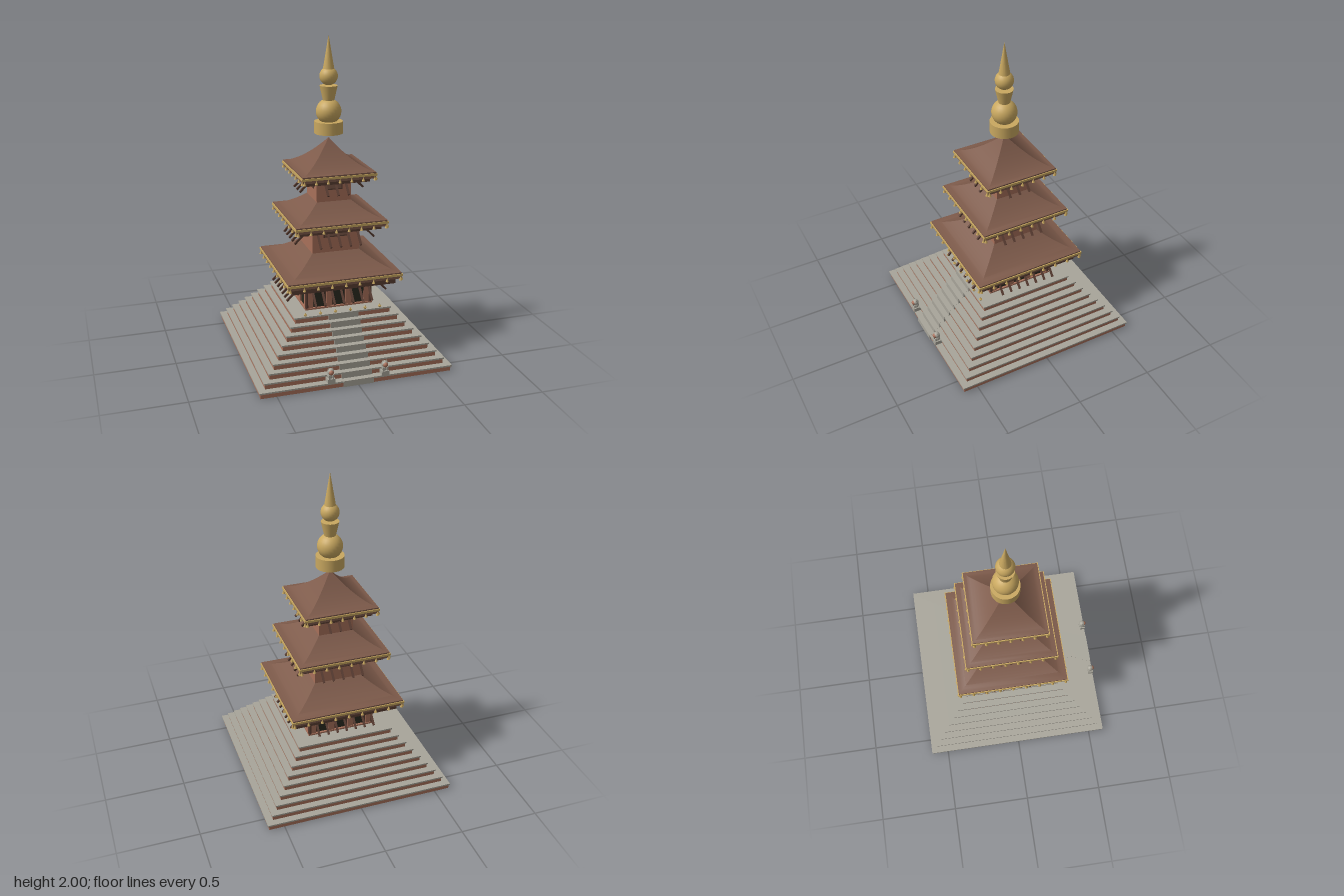
import * as THREE from 'three';
import { toCreasedNormals } from 'three/addons/utils/BufferGeometryUtils.js';

const mat = (name, color) => {
  const m = new THREE.MeshStandardMaterial({ color });
  m.name = name;
  return m;
};

export function createModel() {
  const stone = mat('stone', 0xa8a59a);
  const brick = mat('brick', 0xa8705a);
  const tile = mat('roof tile', 0x7d5a4a);
  const wood = mat('dark wood', 0x5a3d32);
  const gold = mat('gold', 0xc9a860);
  const dark = mat('dark opening', 0x2b2b20);

  const model = new THREE.Group();
  model.name = 'pagoda';
  const tower = new THREE.Group();
  tower.name = 'tower';
  tower.position.z = -0.006;
  model.add(tower);

  const add = (parent, name, geo, material, x = 0, y = 0, z = 0) => {
    const m = new THREE.Mesh(geo, material);
    m.name = name;
    m.position.set(x, y, z);
    parent.add(m);
    return m;
  };
  // box given by its bottom and top heights
  const box = (parent, name, material, w, y0, y1, d, x = 0, z = 0) =>
    add(parent, name, new THREE.BoxGeometry(w, y1 - y0, d), material, x, (y0 + y1) / 2, z);
  // run a builder once for each of the four sides
  const fourSides = (name, build) => {
    for (let k = 0; k < 4; k++) {
      const g = new THREE.Group();
      g.name = name;
      g.rotation.y = k * Math.PI / 2;
      tower.add(g);
      build(g);
    }
  };
  const spread = (n, half) => Array.from({ length: n }, (_, i) => -half + (2 * half * i) / (n - 1));

  // stepped plinth with stone caps, and the front stair
  const STEPS = 9, RISE = 0.345 / STEPS;
  for (let i = 0; i < STEPS; i++) {
    const h = 0.604 - i * 0.0365, y = i * RISE;
    box(tower, 'plinthStep', brick, 2 * h - 0.014, y, y + RISE - 0.01, 2 * h - 0.014);
    box(tower, 'plinthCap', stone, 2 * h, y + RISE - 0.01, y + RISE, 2 * h);
    box(tower, 'stairTread', stone, 0.19, y + 0.0005, y + RISE + 0.0005, 0.06, 0, h - 0.028);
  }

  // butter lamps along the front of the platform
  for (const x of spread(6, 0.24)) {
    add(tower, 'lampBowl', new THREE.CylinderGeometry(0.011, 0.006, 0.01, 8), gold, x, 0.35, 0.298);
    add(tower, 'lampFlame', new THREE.ConeGeometry(0.006, 0.018, 8), gold, x, 0.363, 0.298);
  }

  // guardian statues
  for (const s of [-1, 1]) {
    const g = new THREE.Group();
    g.name = 'guardian';
    g.position.set(s * 0.17, 0, 0.578);
    model.add(g);
    box(g, 'pedestal', stone, 0.046, 0.03, 0.065, 0.046);
    const body = add(g, 'body', new THREE.SphereGeometry(0.02, 12, 8), stone, 0, 0.08, -0.002);
    body.scale.set(1, 1.2, 0.9);
    add(g, 'mane', new THREE.SphereGeometry(0.021, 12, 8), stone, 0, 0.105, 0.002);
    add(g, 'face', new THREE.SphereGeometry(0.016, 12, 8), brick, 0, 0.104, 0.013);
    for (const e of [-1, 1]) {
      add(g, 'ear', new THREE.ConeGeometry(0.006, 0.014, 6), stone, e * 0.013, 0.124, 0.002);
      box(g, 'foreleg', stone, 0.009, 0.065, 0.09, 0.009, e * 0.012, 0.015);
    }
  }

  // ground storey: three dark openings between columns on every side
  box(tower, 'lowerWall', brick, 0.4, 0.345, 0.53, 0.4);
  box(tower, 'lowerSill', brick, 0.436, 0.345, 0.355, 0.436);
  box(tower, 'lowerLintel', brick, 0.42, 0.5, 0.53, 0.42);
  fourSides('lowerFacade', (g) => {
    for (const x of [-0.125, 0, 0.125]) {
      box(g, 'doorFrame', wood, 0.086, 0.355, 0.5, 0.008, x, 0.2);
      box(g, 'doorOpening', dark, 0.07, 0.357, 0.49, 0.008, x, 0.203);
    }
    for (const x of [-0.0625, 0.0625]) box(g, 'pillar', brick, 0.038, 0.355, 0.5, 0.024, x, 0.203);
    box(g, 'cornerPillar', brick, 0.045, 0.355, 0.5, 0.045, 0.19, 0.19);
    add(g, 'cornerColumn', new THREE.CylinderGeometry(0.011, 0.011, 0.155, 10), wood, 0.207, 0.43, 0.207);
  });

  // upper storeys with lattice windows
  for (const [h, y0, y1, win] of [[0.152, 0.66, 0.87, 0.08], [0.11, 0.98, 1.16, 0.055]]) {
    box(tower, 'upperWall', brick, 2 * h, y0, y1, 2 * h);
    fourSides('upperWindow', (g) => {
      box(g, 'windowFrame', wood, 2 * win, y1 - 0.085, y1 - 0.02, 0.008, 0, h);
      box(g, 'windowPanel', tile, 2 * win - 0.016, y1 - 0.077, y1 - 0.028, 0.008, 0, h + 0.002);
    });
  }

  // roofs: h half width, e eave height, t top half width, p top height, b soffit bottom
  const roofs = [
    { h: 0.365, e: 0.583, t: 0.148, p: 0.692, b: 0.505, bells: 9, struts: 7, sx: 0.18, low: [0.325, 0.408], len: 0.12 },
    { h: 0.293, e: 0.906, t: 0.108, p: 1.003, b: 0.843, bells: 8, struts: 5, sx: 0.127, low: [0.258, 0.752], len: 0.105 },
    { h: 0.236, e: 1.198, t: 0.0005, p: 1.378, b: 1.133, bells: 7, struts: 3, sx: 0.065, low: [0.205, 1.062], len: 0.095 },
  ];
  for (const r of roofs) {
    // concave hipped shell
    const profile = [];
    for (let i = 0; i <= 12; i++) {
      const u = i / 12;
      profile.push(new THREE.Vector2((r.h - 0.006 + (r.t - r.h + 0.006) * u) * Math.SQRT2, r.e + (r.p - r.e) * u ** 1.6));
    }
    const shell = toCreasedNormals(new THREE.LatheGeometry(profile, 4).rotateY(Math.PI / 4), 0.45);
    add(tower, 'roofShell', shell, tile);
    // eave edge, gilt trim, fascia and soffit
    const edge = 2 * r.h;
    box(tower, 'eaveEdge', tile, edge - 0.012, r.e - 0.012, r.e, edge - 0.012);
    box(tower, 'eaveTrim', gold, edge, r.e - 0.022, r.e - 0.008, edge);
    box(tower, 'fascia', tile, edge - 0.016, r.e - 0.04, r.e - 0.022, edge - 0.016);
    box(tower, 'soffit', wood, edge - 0.07, r.b, r.e - 0.04, edge - 0.07);
    // hanging bells and slanted struts
    fourSides('eaveSide', (g) => {
      for (const x of spread(r.bells, r.h - 0.015))
        add(g, 'eaveBell', new THREE.ConeGeometry(0.01, 0.026, 8), gold, x, r.e - 0.036, r.h - 0.004);
      for (const x of spread(r.struts, r.sx)) {
        const d = r.len / 2;
        const strut = add(g, 'strut', new THREE.BoxGeometry(0.012, r.len * Math.SQRT2, 0.012), wood,
          x, r.low[1] + d, r.low[0] - d);
        strut.rotation.x = -Math.PI / 4;
      }
    });
  }

  // gilded finial
  add(tower, 'finialDrum', new THREE.CylinderGeometry(0.088, 0.088, 0.075, 24), gold, 0, 1.4425, 0);
  add(tower, 'finialBulb', new THREE.SphereGeometry(0.078, 24, 16), gold, 0, 1.54, 0);
  add(tower, 'finialCup', new THREE.CylinderGeometry(0.055, 0.035, 0.09, 24), gold, 0, 1.653, 0);
  add(tower, 'finialOrb', new THREE.SphereGeometry(0.056, 24, 16), gold, 0, 1.755, 0);
  add(tower, 'finialSpike', new THREE.ConeGeometry(0.036, 0.21, 16), gold, 0, 1.895, 0);

  return model;
}
